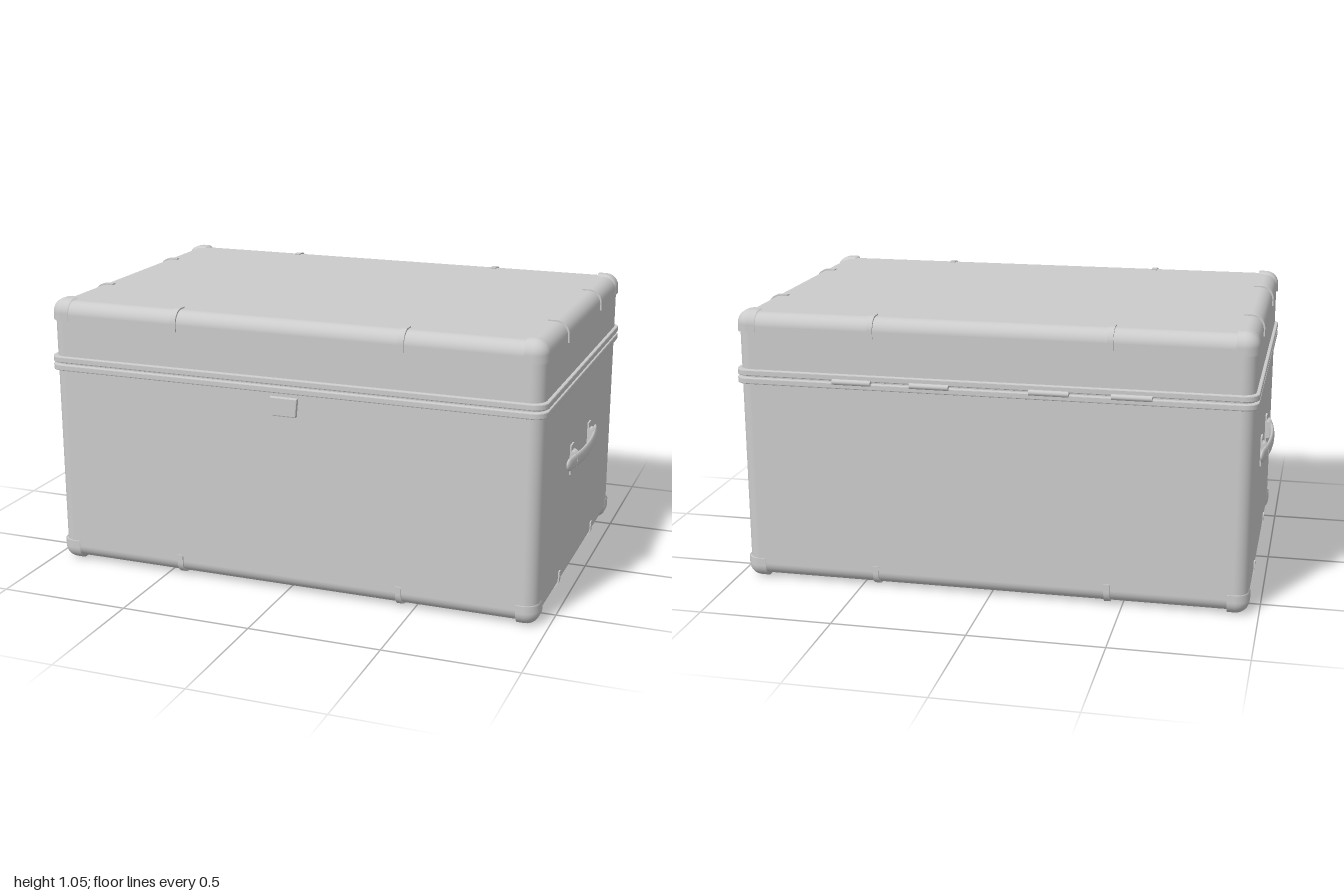
import * as THREE from 'three';
import { RoundedBoxGeometry } from 'three/addons/geometries/RoundedBoxGeometry.js';

const material = new THREE.MeshStandardMaterial({ color: 0xcccccc, side: THREE.DoubleSide });
const BOTTOM = 0.01, TOP = 1.043, MID = (BOTTOM + TOP) / 2;
const HX = 0.958, HY = (TOP - BOTTOM) / 2, HZ = 0.637, ROUND = 0.05;
const SEAM = 0.805, OUT = 0.007, REACH = 0.08;

function part(parent, name, geometry, x = 0, y = 0, z = 0) {
  const mesh = new THREE.Mesh(geometry, material);
  mesh.name = name;
  mesh.position.set(x, y, z);
  parent.add(mesh);
  return mesh;
}

// Rounded box whose vertices are squashed flat against limiting planes
function clampedBox(w, h, d, r, min, max) {
  const geo = new RoundedBoxGeometry(w, h, d, 5, r);
  const p = geo.attributes.position, v = new THREE.Vector3();
  for (let i = 0; i < p.count; i++) {
    v.fromBufferAttribute(p, i).clamp(min, max);
    p.setXYZ(i, v.x, v.y, v.z);
  }
  return geo;
}

// Horizontal band with rounded corners, from y0 to y1
function band(hx, hz, r, y0, y1) {
  const s = new THREE.Shape();
  s.moveTo(-hx + r, -hz);
  s.lineTo(hx - r, -hz);
  s.absarc(hx - r, -hz + r, r, -Math.PI / 2, 0);
  s.absarc(hx - r, hz - r, r, 0, Math.PI / 2);
  s.absarc(-hx + r, hz - r, r, Math.PI / 2, Math.PI);
  s.absarc(-hx + r, -hz + r, r, Math.PI, Math.PI * 1.5);
  const bevel = 0.004;
  const geo = new THREE.ExtrudeGeometry(s, {
    depth: y1 - y0 - 2 * bevel, bevelThickness: bevel, bevelSize: bevel,
    bevelOffset: -bevel, bevelSegments: 2, curveSegments: 6,
  });
  return geo.rotateX(-Math.PI / 2).translate(0, y0 + bevel, 0);
}

// Strap bent round an edge: outer corner at the origin, x outward and y upward
function edgeStrap() {
  const s = new THREE.Shape(), r = ROUND, w = 0.022;
  s.moveTo(-REACH, -REACH);
  s.lineTo(0, -REACH);
  s.lineTo(0, -r);
  s.absarc(-r, -r, r, 0, Math.PI / 2);
  s.lineTo(-REACH, 0);
  s.closePath();
  return new THREE.ExtrudeGeometry(s, { depth: w, bevelEnabled: false, curveSegments: 8 })
    .translate(0, 0, -w / 2);
}

// Bowed grip held by two brackets, on the +x side
function makeHandle() {
  const handle = new THREE.Group();
  const grip = new THREE.CapsuleGeometry(0.026, 0.45, 6, 16, 20).rotateX(Math.PI / 2);
  const p = grip.attributes.position;
  for (let i = 0; i < p.count; i++) {
    const t = p.getZ(i) / 0.25;
    p.setX(i, p.getX(i) * 0.35 + 0.008 + 0.026 * (1 - Math.min(1, t * t)));
  }
  grip.computeVertexNormals();
  part(handle, 'handleGrip', grip);

  const s = new THREE.Shape();
  s.moveTo(-0.01, -0.058);
  s.lineTo(0.006, -0.058);
  s.lineTo(0.006, -0.034);
  s.bezierCurveTo(0.04, -0.034, 0.04, 0.034, 0.006, 0.034);
  s.lineTo(0.006, 0.058);
  s.lineTo(-0.01, 0.058);
  s.closePath();
  const bracket = new THREE.ExtrudeGeometry(s, { depth: 0.045, bevelEnabled: false, curveSegments: 10 })
    .translate(0, 0, -0.0225);
  for (const side of [-1, 1]) part(handle, 'handleBracket', bracket, 0, 0, side * 0.153);
  return handle;
}

export function createModel() {
  const trunk = new THREE.Group();
  trunk.name = 'trunk';
  const shell = new THREE.Group();
  shell.name = 'shell';
  shell.position.z = 0.005;
  trunk.add(shell);

  // Lower box and lid, meeting at the seam
  const seam = SEAM - MID;
  const half = (name, lo, hi) => part(shell, name, clampedBox(2 * HX, 2 * HY, 2 * HZ, ROUND,
    new THREE.Vector3(-9, lo, -9), new THREE.Vector3(9, hi, 9)), 0, MID, 0);
  half('lowerBox', -9, seam);
  half('lid', seam, 9);

  // Pair of rims along the seam
  part(shell, 'lowerRim', band(HX + 0.013, HZ + 0.014, 0.05, 0.777, 0.801));
  part(shell, 'upperRim', band(HX + 0.013, HZ + 0.014, 0.05, 0.808, 0.832));

  // Eight rounded corner caps
  for (const sx of [-1, 1]) for (const sy of [-1, 1]) for (const sz of [-1, 1]) {
    const lim = (s, side) => (s === side ? 9 * side : 0);
    const geo = clampedBox(2 * REACH, 2 * REACH, 2 * REACH, 0.052,
      new THREE.Vector3(lim(sx, -1), lim(sy, -1), lim(sz, -1)),
      new THREE.Vector3(lim(sx, 1), lim(sy, 1), lim(sz, 1)));
    const at = (s, h) => s * (h + OUT - REACH);
    part(shell, 'cornerCap', geo, at(sx, HX), MID + at(sy, HY + 0.002), at(sz, HZ));
  }

  // Straps round the top and bottom edges: two on each of the four sides
  const strap = edgeStrap();
  for (let k = 0; k < 4; k++) {
    const side = new THREE.Group();
    side.name = 'edgeStraps';
    side.rotation.y = k * Math.PI / 2;
    shell.add(side);
    const out = (k % 2 ? HZ : HX) + 0.005;
    const along = k % 2 ? 0.443 : 0.282;
    for (const s of [-1, 1]) {
      part(side, 'topStrap', strap, out, TOP + 0.005, s * along);
      part(side, 'bottomStrap', strap, out, BOTTOM - 0.005, s * along).rotation.x = Math.PI;
    }
  }

  // Carrying handles on both ends
  for (const s of [-1, 1]) {
    const handle = makeHandle();
    handle.name = s > 0 ? 'leftHandle' : 'rightHandle';
    handle.position.set(s * HX, 0.49, 0.006);
    if (s < 0) handle.rotation.y = Math.PI;
    trunk.add(handle);
  }

  // Tapered lock plate on the front
  const plate = new THREE.Shape();
  plate.moveTo(-0.047, 0.69);
  plate.lineTo(0.047, 0.69);
  plate.lineTo(0.054, 0.762);
  plate.lineTo(-0.054, 0.762);
  plate.closePath();
  part(trunk, 'lockPlate', new THREE.ExtrudeGeometry(plate, {
    depth: 0.014, bevelThickness: 0.004, bevelSize: 0.004, bevelOffset: -0.004, bevelSegments: 2,
  }), 0, 0, 0.638);

  // Hinge barrels along the back
  const barrel = new THREE.CylinderGeometry(0.011, 0.011, 0.147, 12).rotateZ(Math.PI / 2);
  for (const x of [-0.525, -0.225, 0.218, 0.513]) part(trunk, 'hinge', barrel, x, 0.804, -0.646);

  return trunk;
}
